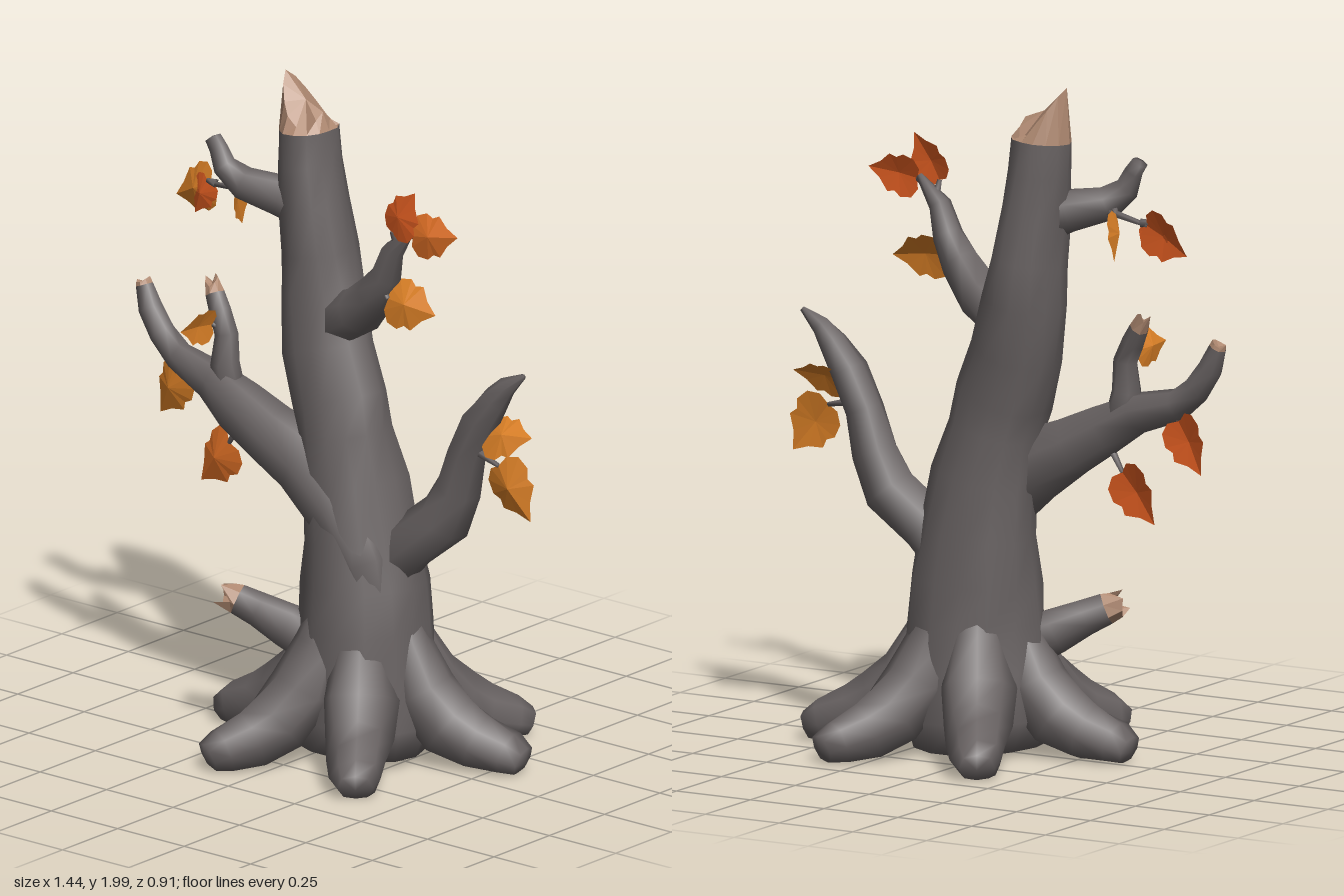
import * as THREE from 'three';

const V = (x, y, z) => new THREE.Vector3(x, y, z);
const material = (name, color) => {
  const m = new THREE.MeshStandardMaterial({ color, side: THREE.DoubleSide });
  m.name = name;
  return m;
};

function meshOf(name, positions, index, mat, flat = false) {
  let geo = new THREE.BufferGeometry();
  geo.setAttribute('position', new THREE.Float32BufferAttribute(positions, 3));
  geo.setIndex(index);
  if (flat) geo = geo.toNonIndexed();
  geo.computeVertexNormals();
  const mesh = new THREE.Mesh(geo, mat);
  mesh.name = name;
  return mesh;
}

// Limb swept through [x, y, z, radiusU, radiusV]; an optional jagged end is added in bare wood
function limb(name, pts, bark, { n = 8, up = V(0, 0, 1), bump = 0, twist = 0, broken, taper = 0.15, dip = 0, wood } = {}) {
  const group = new THREE.Group();
  group.name = name;
  const centres = pts.map(p => V(p[0], p[1], p[2]));
  const last = pts.length - 1;
  const pos = [], index = [], rim = [];
  let tangent;
  pts.forEach((p, i) => {
    tangent = centres[Math.min(i + 1, last)].clone().sub(centres[Math.max(i - 1, 0)]).normalize();
    const u = up.clone().cross(tangent).normalize();
    const v = tangent.clone().cross(u);
    for (let j = 0; j < n; j++) {
      const a = j / n * Math.PI * 2;
      const k = 1 + bump * Math.sin(3 * a + i * twist) + bump * 0.6 * Math.sin(5 * a - i * 1.7);
      const q = centres[i].clone()
        .addScaledVector(u, Math.cos(a) * p[3] * k)
        .addScaledVector(v, Math.sin(a) * (p[4] ?? p[3]) * k);
      q.y = Math.max(q.y, 0.008);
      pos.push(q.x, q.y, q.z);
      if (i === last) rim.push(q);
    }
  });
  for (let i = 0; i < last; i++) for (let j = 0; j < n; j++) {
    const a = i * n + j, b = i * n + (j + 1) % n;
    index.push(a, b, b + n, a, b + n, a + n);
  }
  // closed start
  const start = pos.length / 3;
  pos.push(...centres[0].toArray());
  for (let j = 0; j < n; j++) index.push((j + 1) % n, j, start);
  if (!broken) {
    const end = pos.length / 3;
    pos.push(...centres[last].clone().addScaledVector(tangent, pts[last][3] * 0.2).toArray());
    for (let j = 0; j < n; j++) index.push(last * n + j, last * n + (j + 1) % n, end);
  } else {
    const wp = [], wi = [];
    rim.forEach(q => wp.push(...q.toArray()));
    rim.forEach((q, j) => wp.push(...q.clone().lerp(centres[last], taper)
      .addScaledVector(tangent, broken[j % broken.length]).toArray()));
    wp.push(...centres[last].clone().addScaledVector(tangent, dip).toArray());
    for (let j = 0; j < n; j++) {
      const k = (j + 1) % n;
      wi.push(j, k, k + n, j, k + n, j + n, j + n, k + n, 2 * n);
    }
    group.add(meshOf(name + 'BrokenEnd', wp, wi, wood, true));
  }
  group.add(meshOf(name + 'Bark', pos, index, bark));
  return group;
}

// Thin lobed leaf, creased down the middle, with its own colour on each face
function leaf(base, tip, facing, front, back) {
  const half = [[0.2, -0.05], [0.38, 0.06], [0.43, 0.28], [0.34, 0.42], [0.38, 0.56], [0.17, 0.75]];
  const outline = [[0, 0], ...half, [0, 1], ...half.map(([x, y]) => [-x, y]).reverse()];
  const rim = [], upper = [], under = [];
  outline.forEach(([x, y], i) => {
    const a = i + 1, b = (i + 1) % outline.length + 1;
    rim.push(x, y, -Math.abs(x) * 0.2 - y * y * 0.08);
    upper.push(0, a, b);
    under.push(0, b, a);
  });
  const group = new THREE.Group();
  group.name = 'leaf';
  group.add(meshOf('leafFront', [0, 0.4, 0.06, ...rim], upper, front, true));
  group.add(meshOf('leafBack', [0, 0.4, 0.01, ...rim], under, back, true));
  const y = tip.clone().sub(base);
  const length = y.length();
  y.normalize();
  const x = y.clone().cross(facing).normalize();
  group.quaternion.setFromRotationMatrix(new THREE.Matrix4().makeBasis(x, y, x.clone().cross(y)));
  group.position.copy(base);
  group.scale.setScalar(length);
  return group;
}

export function createModel() {
  const tree = new THREE.Group();
  tree.name = 'bareAutumnTree';
  const bark = material('bark', 0x686262);
  const wood = material('bareWood', 0xb08a72);
  const orange = material('orangeLeaf', 0xd97f26);
  const amber = material('amberLeaf', 0xd86c24);
  const red = material('redLeaf', 0xd85a20);

  // Trunk with splintered top
  tree.add(limb('trunk', [
    [0.09, 0.03, 0, 0.2, 0.19], [0.09, 0.12, -0.005, 0.23, 0.21], [0.09, 0.26, -0.01, 0.215, 0.2],
    [0.09, 0.4, -0.005, 0.2, 0.188], [0.08, 0.52, -0.015, 0.194, 0.178], [0.07, 0.66, -0.015, 0.17, 0.165],
    [0.045, 0.82, -0.02, 0.155, 0.15], [0.015, 0.96, -0.015, 0.14, 0.132], [-0.01, 1.06, -0.02, 0.148, 0.13],
    [-0.06, 1.2, -0.03, 0.138, 0.125], [-0.1, 1.36, -0.055, 0.125, 0.122], [-0.115, 1.48, -0.055, 0.107, 0.118],
    [-0.135, 1.62, -0.05, 0.1, 0.108], [-0.155, 1.74, -0.055, 0.09, 0.1], [-0.163, 1.84, -0.055, 0.087, 0.09],
  ], bark, {
    n: 14, bump: 0.045, twist: 0.6, wood, taper: 0.24, dip: 0.085,
    broken: [0.165, 0.13, 0.085, 0.05, 0.02, -0.015, 0.035, 0.055, 0.03, -0.01, 0.02, 0.06, 0.1, 0.14],
  }));

  // Roots flaring out of the trunk
  const foot = V(0.09, 0, 0);
  [[-0.17, -0.43], [0.36, -0.43], [-0.14, 0.43], [0.37, 0.37], [0.59, -0.13], [-0.41, 0.03]].forEach(([x, z]) => {
    const at = (t, y, w, h) => [foot.x + (x - foot.x) * t, y, z * t, w, h];
    tree.add(limb('root', [
      at(0.23, 0.5, 0.03, 0.03), at(0.27, 0.36, 0.08, 0.07), at(0.38, 0.22, 0.11, 0.095),
      at(0.55, 0.125, 0.1, 0.1), at(0.72, 0.085, 0.086, 0.085), at(0.9, 0.062, 0.074, 0.068), at(0.99, 0.045, 0.052, 0.048),
    ], bark, { up: V(0, 1, 0), bump: 0.05, twist: 1 }));
  });

  // Branches
  const splinter = { broken: [0.06, 0.04, 0.02, 0.03, 0.045], dip: 0.005, wood };
  const branch = (name, pts, opts = {}) => tree.add(limb(name, pts, bark, { n: 7, bump: 0.06, twist: 1, ...opts }));
  branch('lowerRightBranch', [
    [0.2, 0.44, 0.06, 0.04], [0.15, 0.6, 0.055, 0.085], [0.05, 0.75, 0.04, 0.115], [-0.08, 0.86, 0.045, 0.11],
    [-0.21, 0.925, 0.055, 0.092], [-0.32, 0.985, 0.055, 0.08], [-0.42, 1.04, 0.055, 0.06], [-0.56, 1.08, 0.045, 0.047],
    [-0.63, 1.135, 0.04, 0.042], [-0.68, 1.2, 0.035, 0.036], [-0.707, 1.265, 0.03, 0.025],
  ], { ...splinter, broken: [0.02, 0.012, 0.01, 0.015] });
  branch('forkBranch', [
    [-0.36, 1.0, 0.05, 0.05], [-0.385, 1.1, 0.05, 0.046], [-0.382, 1.19, 0.05, 0.035],
    [-0.415, 1.25, 0.04, 0.033], [-0.44, 1.295, 0.03, 0.029],
  ], { ...splinter, taper: 0.3, dip: 0.03 });
  branch('lowerLeftBranch', [
    [0.1, 0.5, -0.03, 0.08], [0.23, 0.655, -0.04, 0.085], [0.35, 0.755, -0.055, 0.08], [0.4, 0.86, -0.055, 0.068],
    [0.44, 0.98, -0.05, 0.058], [0.495, 1.09, -0.05, 0.055], [0.55, 1.165, -0.05, 0.042],
    [0.59, 1.21, -0.05, 0.03], [0.65, 1.255, -0.055, 0.008],
  ]);
  branch('upperLeftBranch', [
    [-0.08, 1.2, -0.05, 0.08], [-0.01, 1.3, -0.02, 0.082], [0.08, 1.345, 0.005, 0.07], [0.165, 1.425, 0.035, 0.058],
    [0.22, 1.5, 0.05, 0.046], [0.255, 1.585, 0.06, 0.033], [0.33, 1.66, 0.07, 0.01],
  ]);
  branch('upperRightBranch', [
    [-0.13, 1.58, -0.06, 0.065], [-0.22, 1.63, -0.01, 0.066], [-0.33, 1.655, 0.035, 0.05],
    [-0.39, 1.7, 0.05, 0.036], [-0.41, 1.75, 0.05, 0.028], [-0.43, 1.78, 0.05, 0.024],
  ]);
  branch('brokenStub', [
    [0.0, 0.3, 0.03, 0.08], [-0.12, 0.365, 0.085, 0.07], [-0.2, 0.405, 0.125, 0.052], [-0.255, 0.43, 0.152, 0.046],
  ], { ...splinter, broken: [0.035, 0.06, 0.015, 0.06, 0.025, 0.06, 0.045], dip: -0.01 });

  // Leaves on twigs: twig start, leaf base, leaf tip, facing, front colour, back colour
  const ahead = V(-0.1, 0.15, 1), side = V(-1, 0.2, 0.35);
  [
    [V(0.27, 1.6, 0.06), V(0.27, 1.65, 0.085), V(0.35, 1.785, 0.09), ahead, red, red],
    [V(0.31, 1.64, 0.07), V(0.34, 1.65, 0.075), V(0.495, 1.675, 0.07), ahead, amber, red],
    [V(0.2, 1.46, 0.05), V(0.24, 1.435, 0.065), V(0.415, 1.425, 0.075), V(0, 0.4, 1), orange, orange],
    [V(0.48, 1.04, -0.04), V(0.52, 1.05, -0.04), V(0.68, 1.08, -0.045), V(0, 0.8, 1), orange, orange],
    [V(0.47, 1.0, -0.04), V(0.58, 0.975, -0.025), V(0.7, 0.83, -0.01), ahead, orange, orange],
    [V(-0.55, 1.08, 0.04), V(-0.565, 1.035, 0.04), V(-0.66, 0.885, 0.03), ahead, orange, red],
    [V(-0.31, 0.95, 0.06), V(-0.37, 0.86, 0.05), V(-0.49, 0.72, 0.05), ahead, amber, red],
    [V(-0.3, 1.64, 0.02), V(-0.49, 1.61, -0.01), V(-0.645, 1.54, -0.025), ahead, orange, red],
    [V(-0.47, 1.615, -0.01), V(-0.5, 1.62, -0.005), V(-0.55, 1.51, 0), ahead, red, red],
    [V(-0.36, 1.64, 0.02), V(-0.38, 1.63, 0), V(-0.41, 1.5, -0.04), side, orange, orange],
    [V(-0.39, 1.2, 0.05), V(-0.41, 1.22, 0.08), V(-0.43, 1.23, 0.21), V(-1, 0.2, 0), orange, orange],
  ].forEach(([from, base, tip, facing, front, back]) => {
    tree.add(limb('twig', [[...from.toArray(), 0.014], [...base.toArray(), 0.007]], bark, { n: 5, up: V(0.1, 0.3, 0.9) }));
    tree.add(leaf(base, tip, facing, front, back));
  });

  return tree;
}
